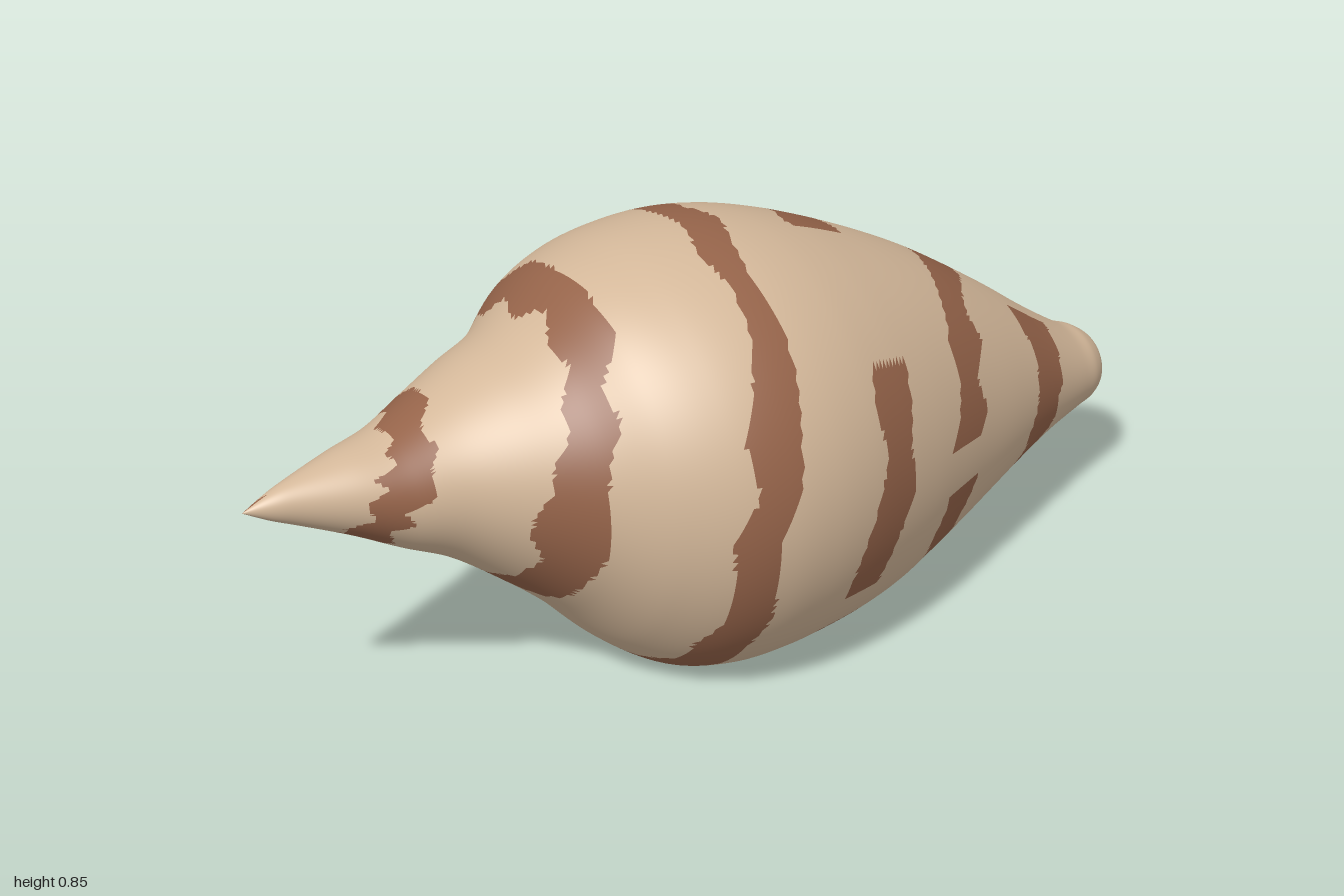
import * as THREE from 'three';

// Cross-sections along the shell: x, top y, bottom y, back z, front z
const RINGS = [
  [-1, .54, .54, 0, 0], [-.95, .563, .512, -.02, .025], [-.9, .578, .488, -.04, .045],
  [-.8, .598, .438, -.085, .085], [-.7, .613, .38, -.13, .12], [-.6, .645, .325, -.185, .155],
  [-.5, .685, .25, -.24, .215], [-.4, .727, .165, -.29, .285], [-.3, .8, .06, -.375, .37],
  [-.2, .836, -.015, -.43, .425], [-.1, .851, -.045, -.45, .449], [0, .85, -.052, -.453, .449],
  [.1, .832, -.05, -.44, .432], [.2, .8, -.045, -.412, .402], [.3, .758, -.03, -.377, .365],
  [.4, .71, 0, -.333, .322], [.5, .655, .035, -.287, .278], [.6, .59, .077, -.242, .235],
  [.7, .52, .117, -.197, .19], [.8, .445, .153, -.152, .146], [.9, .377, .18, -.112, .106],
  [.95, .354, .19, -.09, .085], [.985, .322, .212, -.055, .053], [1, .265, .265, 0, 0],
];

// Stripe centre (x) at each quarter turn: top, back, bottom, front, top ...
const STRIPE = [-.99, -.95, -.82, -.75, -.65, -.6, -.52, -.45, -.33, -.31, -.23, -.16, 0, .02,
  .07, .15, .26, .28, .34, .4, .54, .55, .64, .74, .77, .81, .89];

// Breaks in the stripe, in quarter turns
const GAPS = [[.6, 2.3], [5.5, 5.7], [13.4, 13.6], [14.5, 14.7], [15.4, 15.95], [17.2, 17.35],
  [17.8, 18], [18.88, 19.05], [20.25, 20.4], [21.2, 21.45], [21.8, 22], [22.4, 22.5],
  [23.75, 24.15], [25.3, 25.55]];

const hash = (n) => {
  const v = Math.sin(n * 127.1 + 11.7) * 43758.5453;
  return v - Math.floor(v);
};

// Ragged, piecewise-linear noise in -1..1
function ragged(s, seed) {
  const t = s * 7, i = Math.floor(t);
  return 2 * THREE.MathUtils.lerp(hash(i + seed), hash(i + 1 + seed), t - i) - 1;
}

// True where the spiral stripe covers the shell
function isStripe(x, y, z, angle) {
  if (y < .002) { // wedge on the flat base
    const w = (z + .1) / .3;
    return w > 0 && x > .03 - .01 * w && x < .03 + .11 * w;
  }
  const quarter = (4 - angle / (Math.PI / 2)) % 4;
  for (let s = quarter; s < STRIPE.length - 1; s += 4) {
    if (GAPS.some(([a, b]) => s > a && s < b)) continue;
    const i = Math.floor(s);
    const centre = THREE.MathUtils.lerp(STRIPE[i], STRIPE[i + 1], s - i);
    const half = s < 2 ? .03 : s < 14 ? .04 : .05;
    const low = centre - half - .025 * ragged(s, 0);
    const high = centre + half + .025 * ragged(s, 500);
    if (x > low && x < high) return true;
  }
  return false;
}

function shellGeometry(along, around) {
  const curves = [1, 2, 3, 4].map((c) =>
    new THREE.SplineCurve(RINGS.map((r) => new THREE.Vector2(r[0], r[c]))));
  const pos = [];
  for (let i = 0; i <= along; i++) {
    const [top, bottom, back, front] = curves.map((c) => c.getPoint(i / along));
    for (let j = 0; j < around; j++) {
      const a = (j / around) * Math.PI * 2;
      const y = (top.y + bottom.y) / 2 + Math.cos(a) * (top.y - bottom.y) / 2;
      const z = (front.y + back.y) / 2 + Math.sin(a) * (front.y - back.y) / 2;
      pos.push(top.x, Math.max(0, y), z); // underside cut flat
    }
  }

  // Sort the triangles into plain and striped groups
  const faces = [[], []];
  const addFace = (ids, angle) => {
    const mid = [0, 1, 2].map((k) => ids.reduce((sum, v) => sum + pos[v * 3 + k], 0) / 3);
    faces[isStripe(...mid, angle) ? 1 : 0].push(...ids);
  };
  for (let i = 0; i < along; i++) {
    for (let j = 0; j < around; j++) {
      const a = i * around + j, b = i * around + (j + 1) % around;
      const step = Math.PI * 2 / around;
      addFace([a, b, a + around], (j + .33) * step);
      addFace([b, b + around, a + around], (j + .67) * step);
    }
  }

  const geo = new THREE.BufferGeometry();
  geo.setAttribute('position', new THREE.Float32BufferAttribute(pos, 3));
  geo.setIndex([...faces[0], ...faces[1]]);
  geo.addGroup(0, faces[0].length, 0);
  geo.addGroup(faces[0].length, faces[1].length, 1);
  geo.computeVertexNormals();
  return geo;
}

export function createModel() {
  const sand = new THREE.MeshStandardMaterial({ color: 0xd4b89a });
  sand.name = 'sand';
  const brown = new THREE.MeshStandardMaterial({ color: 0x96644a });
  brown.name = 'brown';

  const model = new THREE.Group();
  model.name = 'seaShell';
  const shell = new THREE.Mesh(shellGeometry(230, 144), [sand, brown]);
  shell.name = 'shellBody';
  model.add(shell);
  return model;
}
